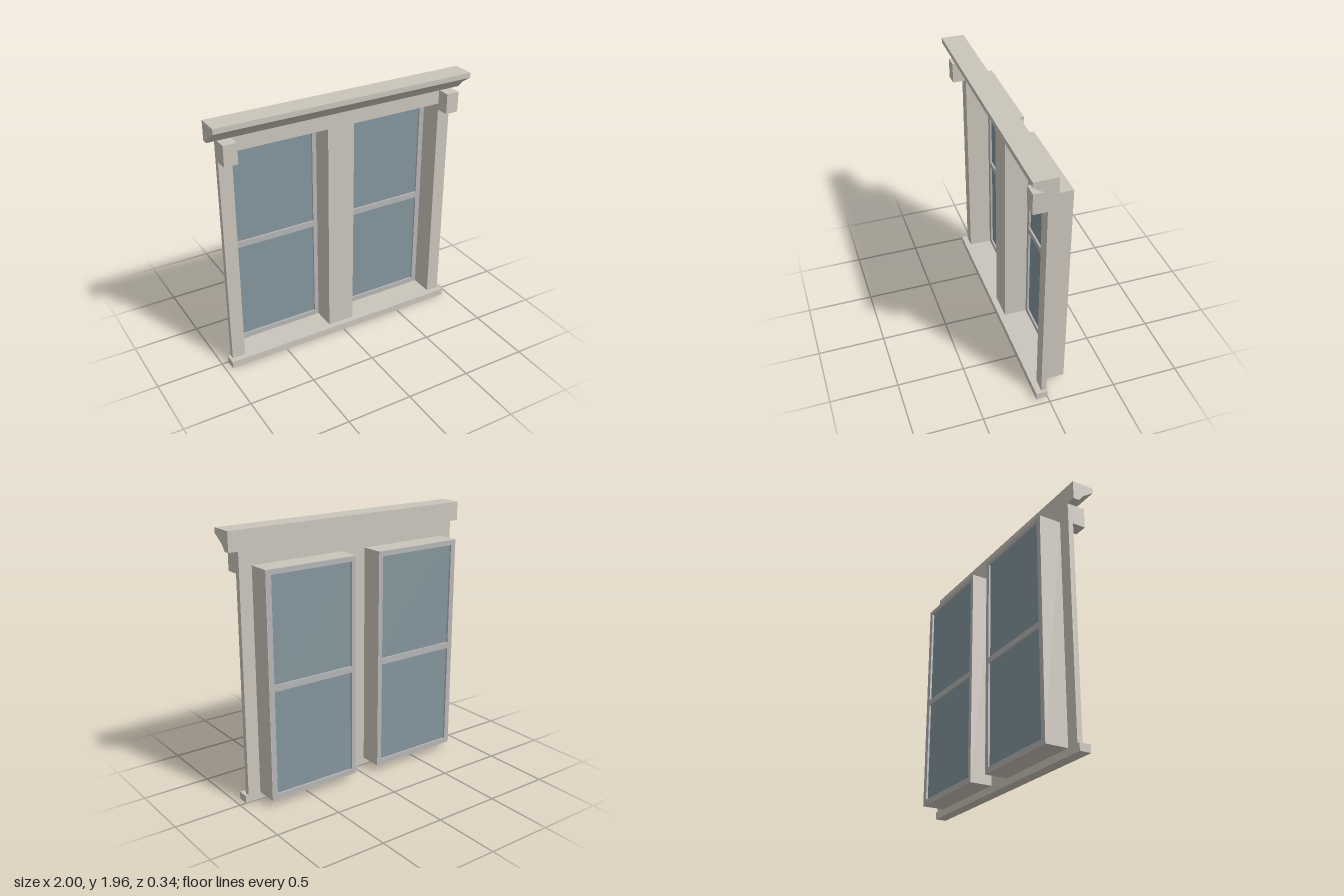
import * as THREE from 'three';

const trimMat = new THREE.MeshStandardMaterial({ color: 0xcbc5bb });
const sashMat = new THREE.MeshStandardMaterial({ color: 0xb5b5b6 });
const glassMat = new THREE.MeshStandardMaterial({ color: 0x84969d });

// opening and pane limits, for the window on the +x side
const IN = 0.105, OUT = 0.828, BOTTOM = 0.055, TOP = 1.712, BACK = -0.17;
const PANE = { x0: 0.138, x1: 0.788, rows: [[0.094, 0.863], [0.909, 1.676]] };

const shapeOf = pts => new THREE.Shape(pts.map(p => new THREE.Vector2(...p)));
const rect = (x0, y0, x1, y1) => [[x0, y0], [x1, y0], [x1, y1], [x0, y1]];

function add(parent, name, geometry, material) {
  const mesh = new THREE.Mesh(geometry, material);
  mesh.name = name;
  parent.add(mesh);
  return mesh;
}

function box(parent, name, material, x0, x1, y0, y1, z0, z1) {
  const mesh = add(parent, name, new THREE.BoxGeometry(x1 - x0, y1 - y0, z1 - z0), material);
  mesh.position.set((x0 + x1) / 2, (y0 + y1) / 2, (z0 + z1) / 2);
  return mesh;
}

function slab(parent, name, material, outline, holes, z0, z1) {
  const shape = shapeOf(outline);
  holes.forEach(h => shape.holes.push(shapeOf(h)));
  const geometry = new THREE.ExtrudeGeometry(shape, { depth: z1 - z0, bevelEnabled: false });
  return add(parent, name, geometry.translate(0, 0, z0), material);
}

// one double-hung window; side is +1 (left) or -1 (right)
function makeWindow(side) {
  const g = new THREE.Group();
  g.name = side > 0 ? 'leftWindow' : 'rightWindow';
  const a = side > 0 ? IN : -OUT, b = side > 0 ? OUT : -IN;
  const p0 = side > 0 ? PANE.x0 : -PANE.x1, p1 = side > 0 ? PANE.x1 : -PANE.x0;
  const t = 0.003;

  // thin lining of the reveal
  slab(g, 'reveal', trimMat, rect(a - t, BOTTOM - t, b + t, TOP + t),
    [rect(a, BOTTOM, b, TOP)], BACK, 0);

  // sash frame with its middle rail, and the two panes
  slab(g, 'sash', sashMat, rect(a, BOTTOM, b, TOP),
    PANE.rows.map(([y0, y1]) => rect(p0, y0, p1, y1)), BACK, BACK + 0.036);
  PANE.rows.forEach(([y0, y1], i) =>
    box(g, i ? 'upperPane' : 'lowerPane', glassMat, p0, p1, y0, y1, BACK + 0.015, BACK + 0.021));
  return g;
}

export function createModel() {
  const model = new THREE.Group();
  model.name = 'doubleWindow';

  // casing board: two jambs, a mullion and a head, open at the sill
  const half = [[IN, BOTTOM], [IN, TOP], [OUT, TOP], [OUT, BOTTOM], [0.928, BOTTOM], [0.928, 1.82]];
  const mirrored = half.map(([x, y]) => [-x, y]).reverse();
  slab(model, 'casing', trimMat, [...half, ...mirrored], [], 0, 0.04);

  // sill
  box(model, 'sill', trimMat, -0.95, 0.95, 0, BOTTOM, 0, 0.085);

  // cornice: side profile (z, y) swept along x
  const profile = shapeOf([[0, 1.818], [0.045, 1.818], [0.085, 1.865], [0.17, 1.922], [0.17, 1.96], [0, 1.96]]);
  const cornice = new THREE.ExtrudeGeometry(profile, { depth: 2, bevelEnabled: false });
  add(model, 'cornice', cornice.translate(0, 0, -1).rotateY(-Math.PI / 2).scale(1, 1, 1), trimMat);

  // corner blocks and windows
  for (const side of [1, -1]) {
    const x = side * 0.878;
    box(model, side > 0 ? 'leftCornerBlock' : 'rightCornerBlock', trimMat,
      x - 0.05, x + 0.05, 1.665, 1.818, 0.002, 0.14);
    model.add(makeWindow(side));
  }
  return model;
}
